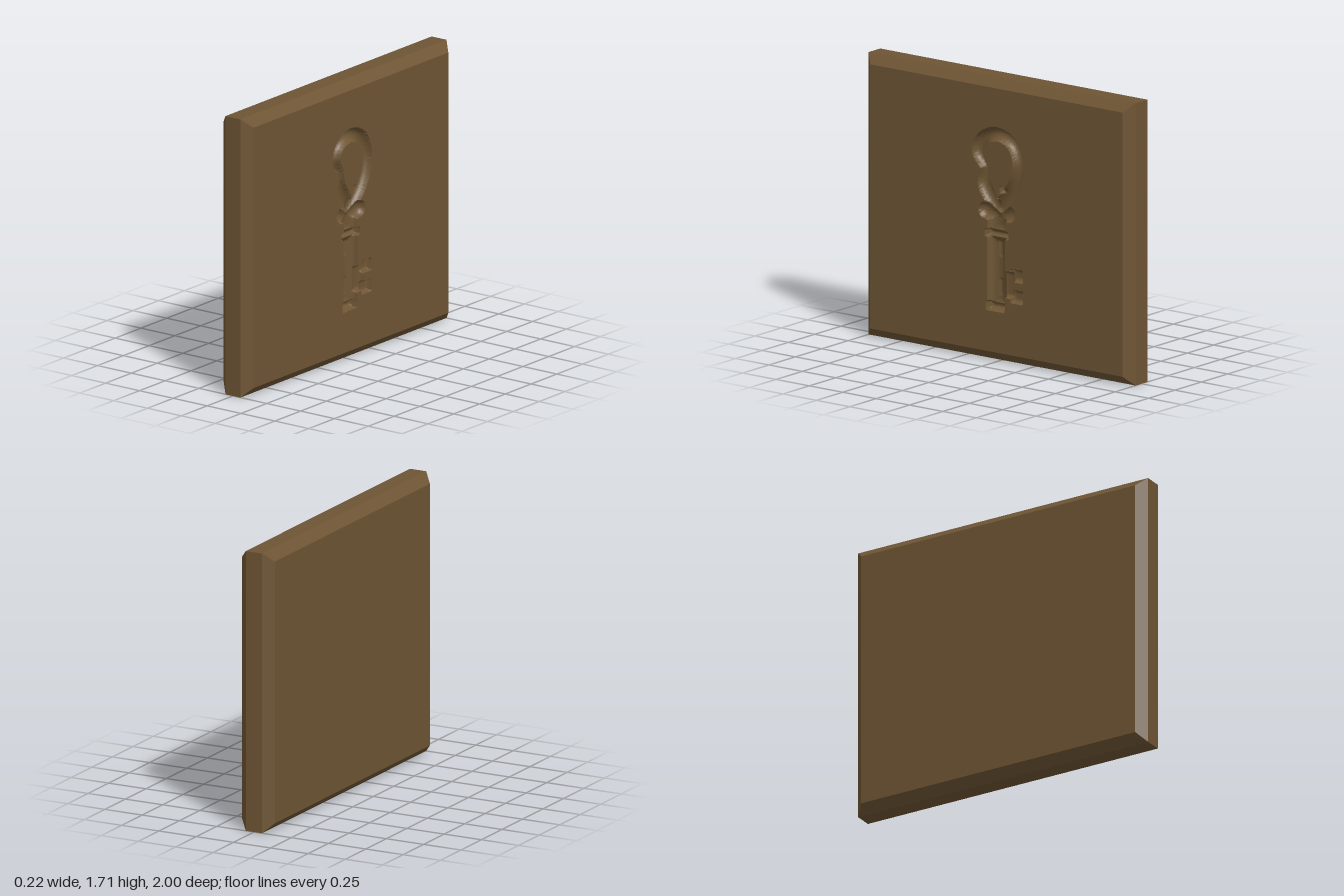
import * as THREE from 'three';
import { toCreasedNormals } from 'three/addons/utils/BufferGeometryUtils.js';

const HEIGHT = 1.71, HALF = 0.11, BEVEL = 0.055;
// Finely divided rectangle around the key (u runs towards -z)
const PANEL = { u: 0.24, y0: 0.27, y1: 1.46 };

// Strokes of the key: points [u, y, radius]
const curve = (pts, n) => {
  const c = new THREE.CatmullRomCurve3(pts.map(p => new THREE.Vector3(...p)));
  return c.getPoints(n);
};
const strokes = [
  // bow, from its left end over the top and down the right arm
  { depth: 0.05, pts: curve([[-0.105, 1.18, 0.028], [-0.14, 1.25, 0.042], [-0.105, 1.335, 0.042], [0, 1.378, 0.043],
    [0.115, 1.335, 0.043], [0.163, 1.22, 0.043], [0.147, 1.12, 0.046], [0.106, 1.04, 0.047], [0.052, 0.975, 0.045], [0.012, 0.925, 0.04]], 36) },
  // left leaf
  { depth: 0.045, pts: curve([[-0.088, 1.175, 0.018], [-0.094, 1.12, 0.032], [-0.091, 1.065, 0.049], [-0.055, 1.0, 0.05], [-0.012, 0.935, 0.04]], 16) },
  // curled tip inside the bow
  { depth: 0.035, pts: curve([[0.08, 1.04, 0.02], [0.045, 1.03, 0.02], [0.035, 1.058, 0.013]], 6) },
  // side lobes
  { depth: 0.045, pts: curve([[-0.082, 0.905, 0.053], [-0.03, 0.885, 0.04]], 2) },
  { depth: 0.045, pts: curve([[0.088, 0.905, 0.052], [0.03, 0.885, 0.04]], 2) },
];

// Blocks of the key: u and y ranges, rounding width of the wall, depth
const blocks = [
  { u: [-0.066, 0.066], y: [0.77, 0.92], w: 0.06, depth: 0.045 },  // neck
  { u: [-0.087, 0.09], y: [0.745, 0.797], w: 0.03, depth: 0.052 },  // collar
  { u: [-0.071, 0.064], y: [0.32, 0.76], w: 0.066, depth: 0.05 },   // shaft
  { u: [-0.08, 0.062], y: [0.302, 0.36], w: 0.03, depth: 0.052 },   // foot
  { u: [-0.03, 0.028], y: [0.61, 0.74], w: 0.029, depth: 0.057 },   // shaft flutes
  { u: [-0.03, 0.028], y: [0.38, 0.51], w: 0.029, depth: 0.057 },
  { u: [0.04, 0.128], y: [0.395, 0.56], w: 0.025, depth: 0.035 },   // bit
  { u: [0.102, 0.2], y: [0.5, 0.58], w: 0.025, depth: 0.035 },      // teeth
  { u: [0.102, 0.2], y: [0.37, 0.455], w: 0.025, depth: 0.035 },
];

// Distance inside the outline and depth of the imprint at one point
function imprint(u, y) {
  let inside = -1, depth = 0;
  const add = (t, w, d) => {
    inside = Math.max(inside, t);
    if (t > 0) depth = Math.max(depth, d * Math.sqrt(1 - (1 - Math.min(t / w, 1)) ** 2));
  };
  for (const s of strokes) {
    for (let i = 0; i + 1 < s.pts.length; i++) {
      const a = s.pts[i], b = s.pts[i + 1], dx = b.x - a.x, dy = b.y - a.y;
      const k = THREE.MathUtils.clamp(((u - a.x) * dx + (y - a.y) * dy) / (dx * dx + dy * dy), 0, 1);
      const r = a.z + (b.z - a.z) * k;
      add(r - Math.hypot(u - a.x - dx * k, y - a.y - dy * k), r, s.depth);
    }
  }
  const round = 0.012;
  for (const b of blocks) {
    const qx = Math.max(b.u[0] - u, u - b.u[1]) + round;
    const qy = Math.max(b.y[0] - y, y - b.y[1]) + round;
    const d = Math.hypot(Math.max(qx, 0), Math.max(qy, 0)) + Math.min(Math.max(qx, qy), 0) - round;
    add(-d, b.w, b.depth);
  }
  return { inside, depth };
}

// Face with the key pressed in: vertices near the outline are pulled onto it,
// and the border vertices are drawn out to the edge of the face
function keyFace() {
  const cell = 0.006, w = PANEL.u * 2, h = PANEL.y1 - PANEL.y0;
  const nu = Math.round(w / cell), ny = Math.round(h / cell);
  const geo = new THREE.PlaneGeometry(w, h, nu, ny);
  geo.translate(0, (PANEL.y0 + PANEL.y1) / 2, 0);
  const p = geo.attributes.position, e = 0.0005;
  for (let i = 0; i < p.count; i++) {
    const u = p.getX(i), y = p.getY(i);
    const col = i % (nu + 1), row = Math.floor(i / (nu + 1));
    const { inside, depth } = imprint(u, y);
    if (Math.abs(inside) < cell * 0.45) {
      const gu = imprint(u + e, y).inside - imprint(u - e, y).inside;
      const gy = imprint(u, y + e).inside - imprint(u, y - e).inside;
      const len = Math.hypot(gu, gy) || 1;
      p.setXYZ(i, u - gu / len * inside, y - gy / len * inside, 0);
    } else p.setZ(i, -depth);
    if (col === 0 || col === nu) p.setX(i, Math.sign(u) * (1 - BEVEL));
    if (row === 0) p.setY(i, HEIGHT - BEVEL);
    if (row === ny) p.setY(i, BEVEL);
  }
  geo.rotateY(Math.PI / 2);
  geo.translate(HALF, 0, 0);
  return toCreasedNormals(geo, 0.7);
}

// Bevelled slab from rectangular rings, left open where the key face sits
function slabGeometry() {
  const rings = [
    [-HALF, 0, HEIGHT / 2, HEIGHT / 2],
    [-HALF, 1 - BEVEL, BEVEL, HEIGHT - BEVEL],
    [-BEVEL, 1, 0, HEIGHT],
    [BEVEL, 1, 0, HEIGHT],
    [HALF, 1 - BEVEL, BEVEL, HEIGHT - BEVEL],
  ].map(([x, z, y0, y1]) => [[x, y0, z], [x, y0, -z], [x, y1, -z], [x, y1, z]]);
  const pos = [];
  for (let r = 0; r + 1 < rings.length; r++) {
    for (let i = 0; i < 4; i++) {
      const j = (i + 1) % 4;
      const a = rings[r][i], b = rings[r][j], c = rings[r + 1][j], d = rings[r + 1][i];
      pos.push(...a, ...c, ...d);
      if (r > 0) pos.push(...a, ...b, ...c);
    }
  }
  const geo = new THREE.BufferGeometry();
  geo.setAttribute('position', new THREE.Float32BufferAttribute(pos, 3));
  geo.computeVertexNormals();
  return geo;
}

export function createModel() {
  const group = new THREE.Group();
  group.name = 'keyMould';
  const material = new THREE.MeshStandardMaterial({ color: 0x6e5534 });
  const slab = new THREE.Mesh(slabGeometry(), material);
  slab.name = 'slab';
  const face = new THREE.Mesh(keyFace(), material);
  face.name = 'keyImprintFace';
  group.add(slab, face);
  return group;
}
